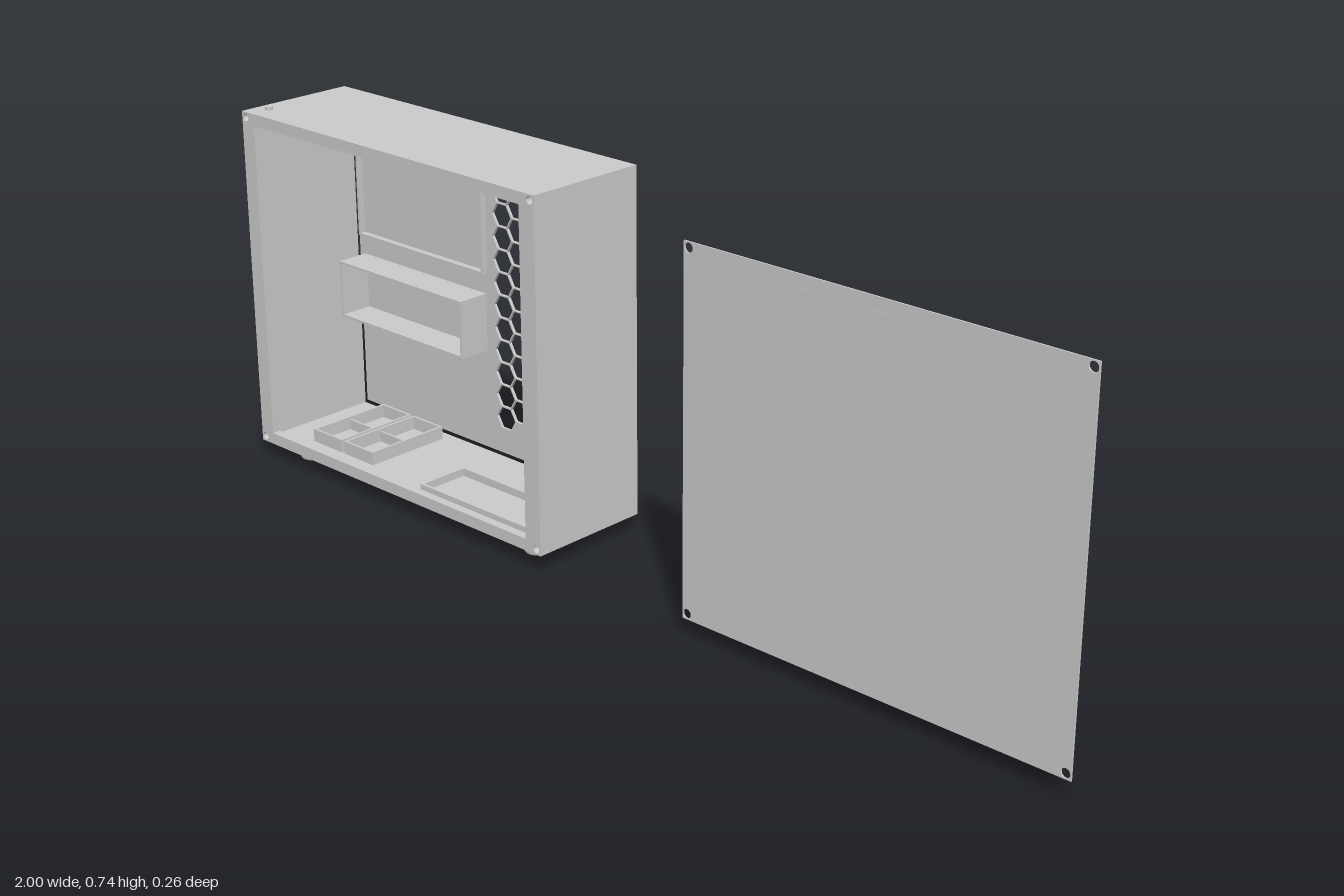
import * as THREE from 'three';

const mat = new THREE.MeshStandardMaterial({ color: 0xcccccc, flatShading: true });
const smooth = new THREE.MeshStandardMaterial({ color: 0xcccccc, side: THREE.DoubleSide });

// Rectangle as a list of corner points
const rect = (x0, x1, y0, y1) =>
  [[x0, y0], [x1, y0], [x1, y1], [x0, y1]].map(([x, y]) => new THREE.Vector2(x, y));

// Regular polygon as a list of corner points
const polygon = (cx, cy, r, n) => Array.from({ length: n }, (_, i) => {
  const a = i / n * Math.PI * 2;
  return new THREE.Vector2(cx + r * Math.cos(a), cy + r * Math.sin(a));
});

// Flat plate with holes, from depth z0 to z1
function plate(name, outline, holes, z0, z1) {
  const shape = new THREE.Shape(outline);
  shape.holes = holes.map(h => new THREE.Path(h));
  const geo = new THREE.ExtrudeGeometry(shape, { depth: z1 - z0, bevelEnabled: false });
  geo.translate(0, 0, z0);
  const mesh = new THREE.Mesh(geo, mat);
  mesh.name = name;
  return mesh;
}

// Rectangular rim of thin walls
const rim = (name, x0, x1, y0, y1, z0, z1, t) =>
  plate(name, rect(x0, x1, y0, y1), [rect(x0 + t, x1 - t, y0 + t, y1 - t)], z0, z1);

// Rim lying on the floor: plan coordinates x and z, rising from y0 to y1
function floorRim(name, x0, x1, zBack, zFront, y0, y1, t) {
  const mesh = rim(name, x0, x1, -zFront, -zBack, y0, y1, t);
  mesh.rotation.x = -Math.PI / 2;
  return mesh;
}

// Four screw holes near the corners of a rectangle
const cornerHoles = (x0, x1, y0, y1, inset, r) =>
  [x0 + inset, x1 - inset].flatMap(x => [y0 + inset, y1 - inset].map(y => polygon(x, y, r, 16)));

export function createModel() {
  const model = new THREE.Group();
  const L = -1, R = -0.18, B = 0.036, T = 0.735, back = -0.132, front = 0.129;
  const floor = B + 0.012;

  const chassis = new THREE.Group();
  chassis.name = 'chassis';
  model.add(chassis);

  // Outer walls, open at front and back
  chassis.add(plate('outerWalls', rect(L, R, B, T),
    [rect(L + 0.02, R - 0.02, floor, T - 0.012)], back, 0.111));

  // Front flange with screw holes
  chassis.add(plate('frontFlange', rect(L, R, B, T),
    [rect(-0.965, -0.219, 0.06, 0.711), ...cornerHoles(L, R, B, T, 0.011, 0.008)], 0.111, front));

  // Back plate with honeycomb vent, held a small gap away from the walls
  const vents = [];
  for (let col = 0; col < 8; col++) {
    for (let row = 0; row < 11; row++) {
      const y = 0.136 + row * 0.0473 + (col % 2) * 0.0237;
      vents.push(polygon(-0.536 + col * 0.041, y, 0.0258, 6));
    }
  }
  chassis.add(plate('backPlate', rect(-0.965, -0.217, 0.06, 0.711), vents, back + 0.001, -0.125));

  // Board recess and deep card box on the back plate
  chassis.add(rim('boardRim', -0.952, -0.58, 0.433, 0.687, -0.125, -0.112, 0.005));
  chassis.add(rim('cardBox', -0.95, -0.585, 0.27, 0.39, -0.125, -0.056, 0.005));

  // Two drive trays with cross dividers
  for (const x of [-0.893, -0.798]) {
    const tray = new THREE.Group();
    tray.name = 'driveTray';
    tray.add(floorRim('trayWalls', x, x + 0.088, -0.108, 0.08, floor, 0.075, 0.005));
    const divider = new THREE.Mesh(new THREE.BoxGeometry(0.08, 0.022, 0.005), mat);
    divider.name = 'trayDivider';
    divider.position.set(x + 0.044, floor + 0.011, -0.014);
    tray.add(divider);
    chassis.add(tray);
  }

  // Low outline for the power unit
  chassis.add(floorRim('powerUnitRim', -0.545, -0.205, -0.015, 0.1, floor, 0.064, 0.006));

  // Power button
  const button = new THREE.Mesh(new THREE.CylinderGeometry(0.008, 0.008, 0.01, 24), smooth);
  button.name = 'powerButton';
  button.position.set(-0.968, 0.737, 0.087);
  chassis.add(button);

  // Flared feet
  const profile = [[0, 0], [0.021, 0], [0.0235, 0.003], [0.0245, 0.008], [0.0235, 0.015],
    [0.021, 0.024], [0.02, 0.032], [0.02, 0.037]].map(([r, y]) => new THREE.Vector2(r, y));
  const footGeo = new THREE.LatheGeometry(profile, 32);
  for (const x of [-0.922, -0.258]) {
    for (const z of [0.064, -0.084]) {
      const foot = new THREE.Mesh(footGeo, smooth);
      foot.name = 'foot';
      foot.position.set(x, 0, z);
      chassis.add(foot);
    }
  }

  // Detached side cover with corner screw holes and a slightly raised field on both faces
  const cover = new THREE.Group();
  cover.name = 'sideCover';
  cover.add(plate('coverSheet', rect(0.18, 1, B, T), cornerHoles(0.18, 1, B, T, 0.011, 0.009), 0.1285, 0.1315));
  cover.add(plate('coverField', rect(0.21, 0.975, 0.06, 0.711), [], 0.128, 0.132));
  model.add(cover);

  return model;
}
